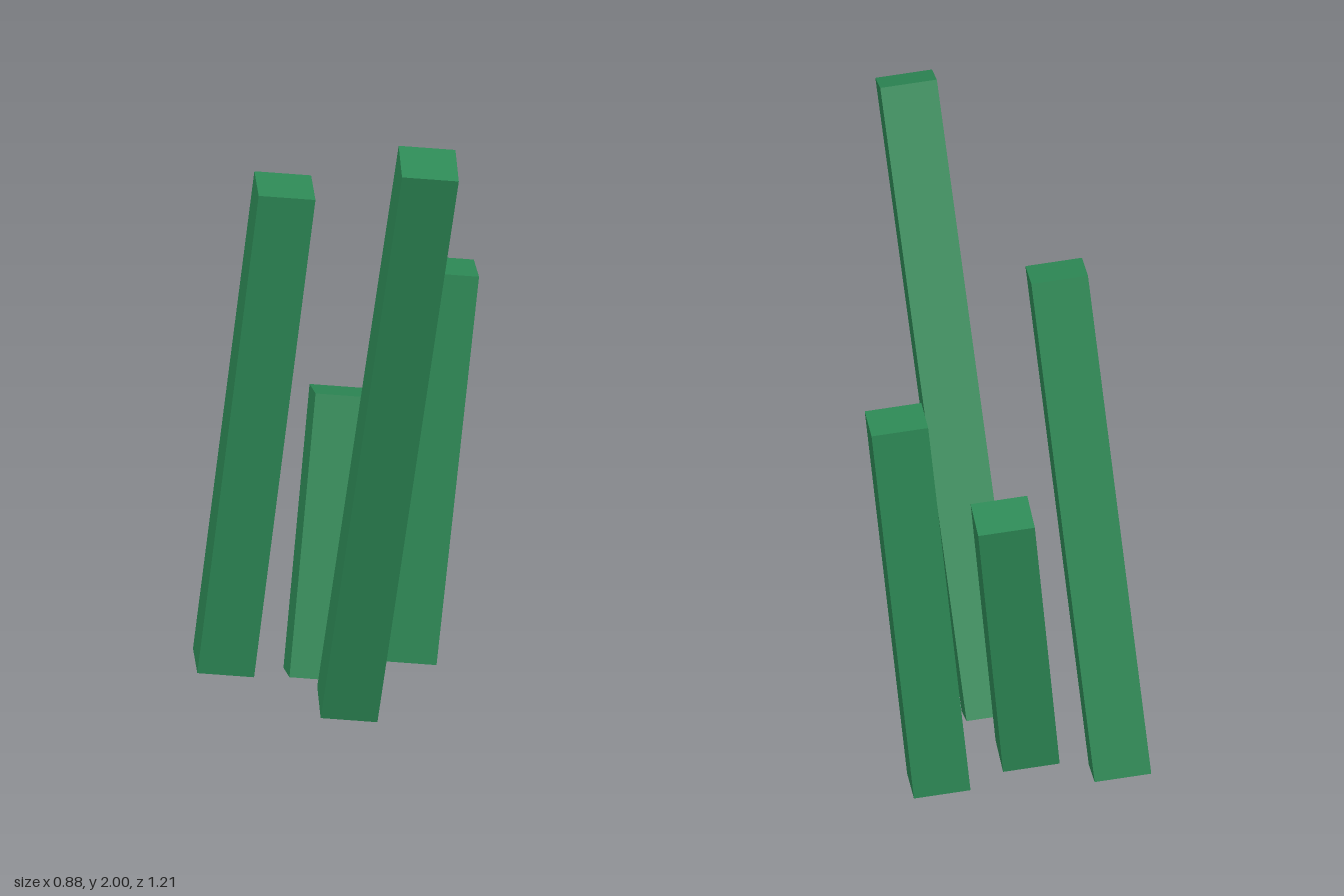
import * as THREE from 'three';

export function createModel() {
  const green = new THREE.MeshStandardMaterial({ color: 0x2e8b57 });
  green.name = 'green';

  const model = new THREE.Group();
  model.name = 'grassTuft';

  const width = 0.178;
  const deg = THREE.MathUtils.degToRad;

  // square blades: name, length, forward tilt in degrees, centre
  const blades = [
    ['tallBlade', 2.02, 16, [0.094, 1.0, 0.241]],
    ['rightBlade', 1.647, 8, [-0.267, 0.848, -0.374]],
    ['leftBlade', 1.268, 0, [0.284, 0.67, -0.516]],
    ['shortBlade', 0.896, -8, [-0.035, 0.48, -0.4]],
  ];

  for (const [name, length, tilt, centre] of blades) {
    const blade = new THREE.Mesh(new THREE.BoxGeometry(width, length, width), green);
    blade.name = name;
    blade.position.set(...centre);
    // every blade shares the same sideways lean
    blade.rotation.set(deg(tilt), 0, deg(-6), 'ZYX');
    model.add(blade);
  }

  return model;
}
